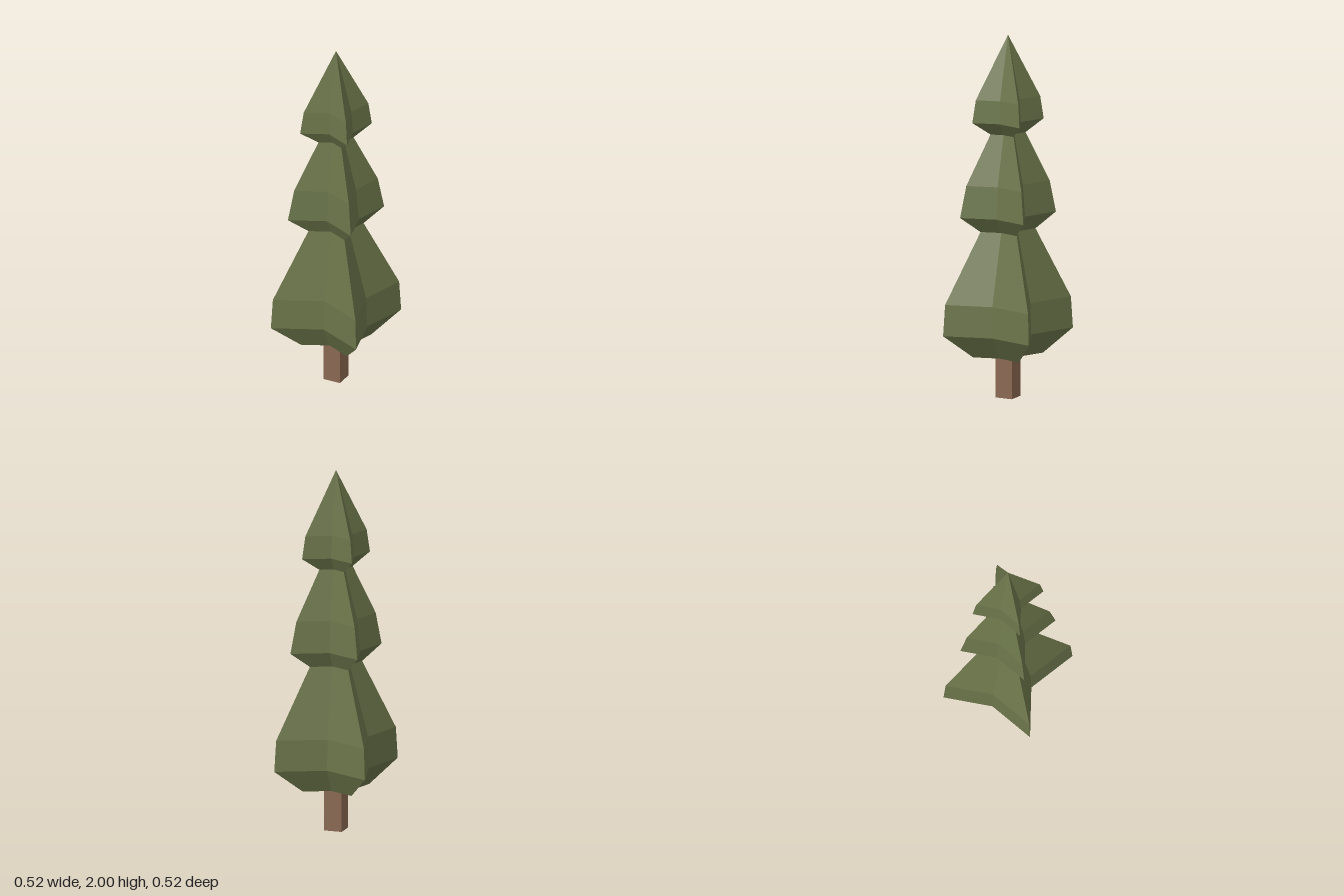
import * as THREE from 'three';

// Four-pointed star outline (x, z), counter-clockwise seen from above
const STAR = [[0.73, 0], [1, -1], [0, -0.54], [-1, -1], [-0.73, 0], [-1, 1], [0, 0.54], [1, 1]];

// Each tier is a stack of scaled stars: [y, half width]
const TIERS = {
  lowerBranches: [[0.23, 0.14], [0.358, 0.26], [0.53, 0.252], [0.92, 0.11]],
  middleBranches: [[0.92, 0.11], [1.005, 0.192], [1.18, 0.167], [1.455, 0.07]],
  topBranches: [[1.455, 0.07], [1.525, 0.143], [1.65, 0.129], [2, 0]],
};

function starStack(rings, closeBottom) {
  const positions = [];
  const n = STAR.length;
  const point = ([y, r], i) => [STAR[i % n][0] * r, y, STAR[i % n][1] * r];
  for (let i = 0; i < n; i++) {
    if (closeBottom) {
      positions.push(0, rings[0][0], 0, ...point(rings[0], i + 1), ...point(rings[0], i));
    }
    for (let k = 0; k < rings.length - 1; k++) {
      const a = point(rings[k], i), b = point(rings[k], i + 1);
      const c = point(rings[k + 1], i + 1), d = point(rings[k + 1], i);
      positions.push(...a, ...b, ...c);
      if (rings[k + 1][1] > 0) positions.push(...a, ...c, ...d);
    }
  }
  const geometry = new THREE.BufferGeometry();
  geometry.setAttribute('position', new THREE.Float32BufferAttribute(positions, 3));
  geometry.computeVertexNormals(); // unshared corners give flat facets
  return geometry;
}

export function createModel() {
  const foliage = new THREE.MeshStandardMaterial({ color: 0x6b754a });
  foliage.name = 'foliageGreen';
  const bark = new THREE.MeshStandardMaterial({ color: 0x8a6852 });
  bark.name = 'barkBrown';

  const tree = new THREE.Group();
  tree.name = 'tree';

  // Square trunk
  const trunk = new THREE.Mesh(new THREE.BoxGeometry(0.1, 0.23, 0.1), bark);
  trunk.name = 'trunk';
  trunk.position.y = 0.115;
  tree.add(trunk);

  // Three tiers of branches
  for (const [name, rings] of Object.entries(TIERS)) {
    const tier = new THREE.Mesh(starStack(rings, name === 'lowerBranches'), foliage);
    tier.name = name;
    tree.add(tier);
  }
  return tree;
}
